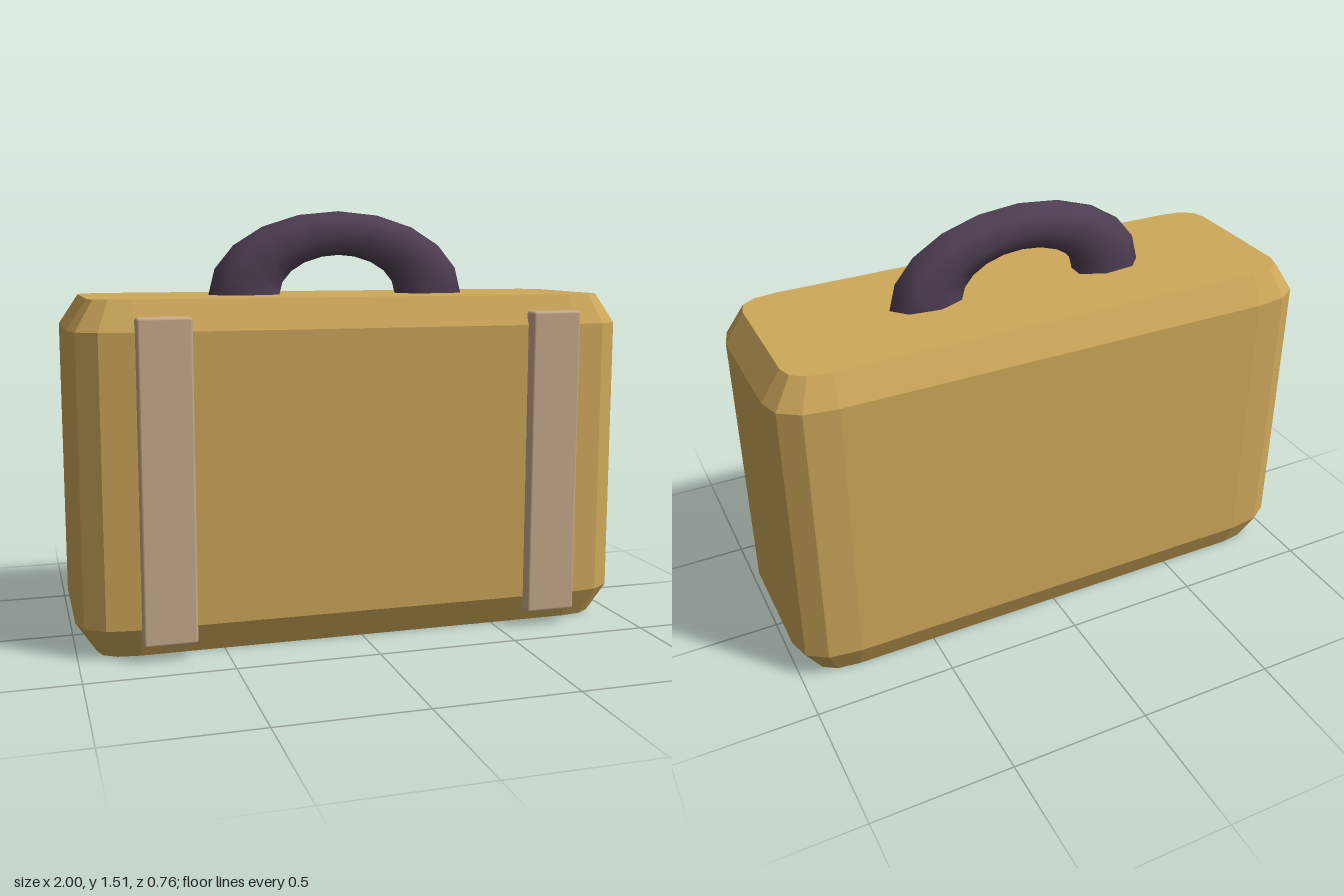
import * as THREE from 'three';
import { RoundedBoxGeometry } from 'three/addons/geometries/RoundedBoxGeometry.js';

const HEIGHT = 1.21, CENTER_Z = -0.022;

// Rounded-rectangle outline; corners are three-segment quadratic curves.
function outline(halfX, halfZ, y) {
  const points = [];
  for (const [sx, sz] of [[1, 1], [-1, 1], [-1, -1], [1, -1]]) {
    const corner = new THREE.QuadraticBezierCurve(
      new THREE.Vector2(halfX * sx, 0.215 * sz),
      new THREE.Vector2(halfX * sx, halfZ * sz),
      new THREE.Vector2(0.79 * sx, halfZ * sz)).getPoints(3);
    if (sx !== sz) corner.reverse();
    points.push(...corner.map((p) => new THREE.Vector3(p.x, y, p.y)));
  }
  return points;
}

// Chamfered case lofted through four horizontal outlines, capped at both ends.
function caseGeometry() {
  const rings = [
    outline(0.93, 0.307, 0),
    outline(1, 0.357, 0.105),
    outline(1, 0.357, HEIGHT - 0.105),
    outline(0.93, 0.307, HEIGHT),
  ];
  const n = rings[0].length;
  const positions = [], index = [];
  for (const ring of rings) for (const p of ring) positions.push(p.x, p.y, p.z);
  for (let r = 0; r < 3; r++) {
    for (let i = 0; i < n; i++) {
      const a = r * n + i, b = r * n + (i + 1) % n;
      index.push(a, a + n, b, b, a + n, b + n);
    }
  }
  for (let i = 1; i < n - 1; i++) {
    index.push(0, i, i + 1);
    index.push(3 * n, 3 * n + i + 1, 3 * n + i);
  }
  const indexed = new THREE.BufferGeometry();
  indexed.setAttribute('position', new THREE.Float32BufferAttribute(positions, 3));
  indexed.setIndex(index);
  const geometry = indexed.toNonIndexed();
  geometry.computeVertexNormals();
  return geometry;
}

export function createModel() {
  const group = new THREE.Group();
  const tan = new THREE.MeshStandardMaterial({ name: 'tan leather', color: 0xcfa95b });
  const beige = new THREE.MeshStandardMaterial({ name: 'beige strap', color: 0xcbae8f });
  const plum = new THREE.MeshStandardMaterial({ name: 'dark plum', color: 0x503f53 });

  const body = new THREE.Mesh(caseGeometry(), tan);
  body.name = 'caseBody';
  body.position.z = CENTER_Z;
  group.add(body);

  // Flattened half-ring handle standing on the lid
  const handle = new THREE.Mesh(new THREE.TorusGeometry(0.351, 0.134, 7, 10, Math.PI), plum);
  handle.name = 'handle';
  handle.geometry.scale(1, 0.62, 0.52);
  handle.position.set(0, HEIGHT, CENTER_Z);
  group.add(handle);

  // Two upright straps on the front
  for (const [name, side] of [['leftStrap', 1], ['rightStrap', -1]]) {
    const strap = new THREE.Mesh(new RoundedBoxGeometry(0.184, 1.1, 0.064, 1, 0.01), beige);
    strap.name = name;
    strap.position.set(0.697 * side, 0.605, 0.346);
    group.add(strap);
  }
  return group;
}
